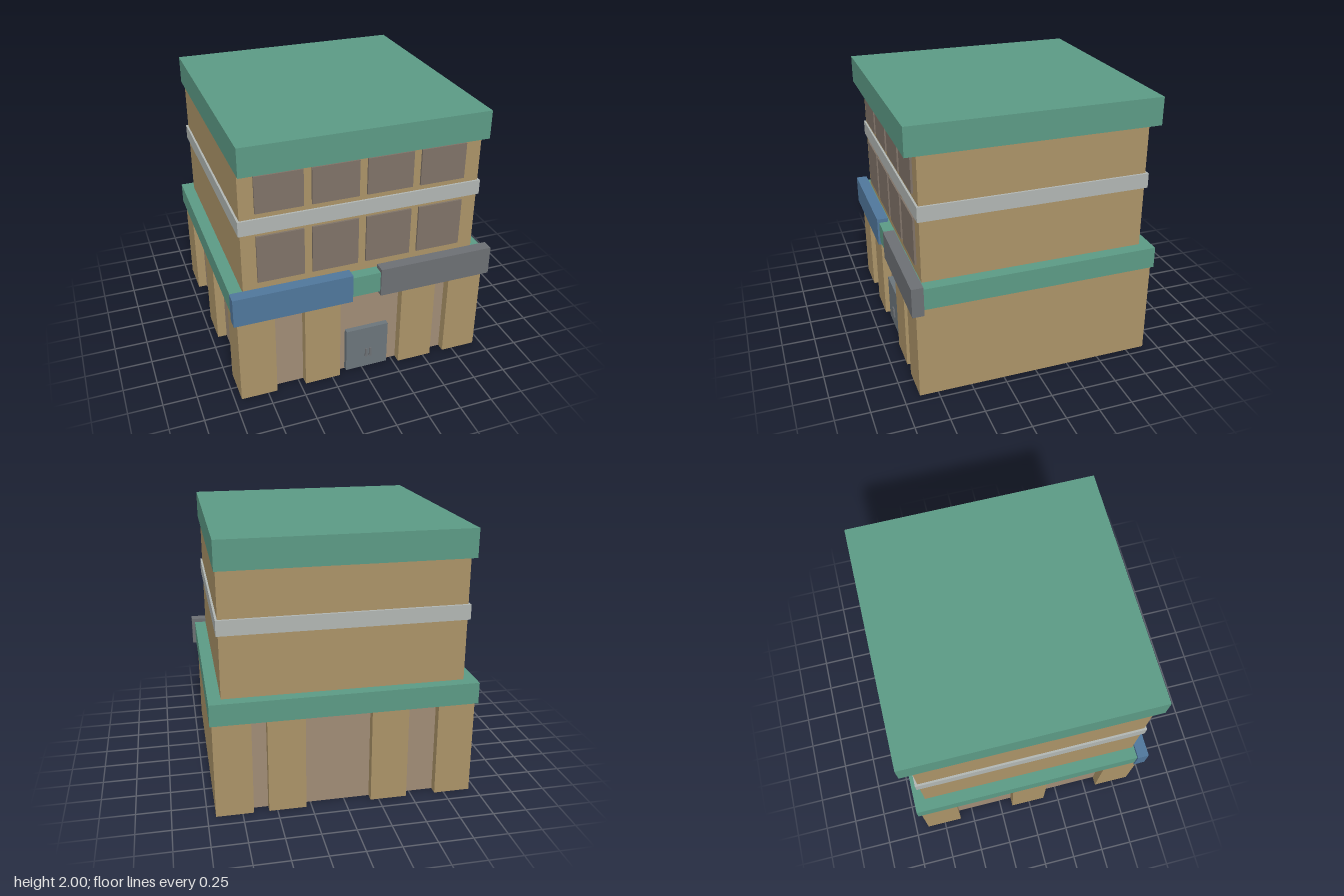
import * as THREE from 'three';

const mat = (name, color) => {
  const m = new THREE.MeshStandardMaterial({ color });
  m.name = name;
  return m;
};

export function createModel() {
  const tan = mat('tan wall', 0xaa9267);
  const taupe = mat('taupe recess', 0x9f8b75);
  const green = mat('green trim', 0x5b9984);
  const paleGrey = mat('pale grey band', 0xb0b5b2);
  const glass = mat('window brown', 0x7e7267);
  const blue = mat('blue sign', 0x4f769b);
  const grey = mat('grey sign', 0x6c6f73);
  const slate = mat('slate door', 0x6b747a);

  const model = new THREE.Group();
  model.name = 'building';

  // Box given by its extents along each axis
  const box = (name, material, [x0, x1], [y0, y1], [z0, z1], parent = model) => {
    const mesh = new THREE.Mesh(new THREE.BoxGeometry(x1 - x0, y1 - y0, z1 - z0), material);
    mesh.position.set((x0 + x1) / 2, (y0 + y1) / 2, (z0 + z1) / 2);
    mesh.name = name;
    parent.add(mesh);
    return mesh;
  };
  const group = (name) => {
    const g = new THREE.Group();
    g.name = name;
    model.add(g);
    return g;
  };

  // Ground floor: recessed core, solid wall on the left, pillars elsewhere
  const ground = [0, 0.715];
  box('groundFloorCore', taupe, [-0.88, 0.87], ground, [-0.83, 0.82]);
  box('sideWall', tan, [0.87, 0.94], ground, [-0.895, 0.885]);

  const pillars = group('pillars');
  for (const x of [[-0.88, -0.68], [-0.46, -0.19], [0.29, 0.56], [0.67, 0.87]]) {
    box('frontPillar', tan, x, ground, [0.82, 0.885], pillars);
    box('backPillar', tan, x, ground, [-0.895, -0.83], pillars);
  }
  for (const z of [[-0.895, -0.61], [-0.15, 0.13], [0.6, 0.885]]) {
    box('sidePillar', tan, [-0.95, -0.88], ground, z, pillars);
  }

  // Door with two handles
  const door = group('door');
  box('doorPanel', slate, [-0.13, 0.2], [0.01, 0.37], [0.82, 0.86], door);
  for (const x of [0.02, 0.053]) {
    box('doorHandle', grey, [x, x + 0.017], [0.105, 0.18], [0.86, 0.87], door);
  }

  // Ledge and sign boards above the ground floor
  box('ledge', green, [-0.97, 0.955], [0.715, 0.875], [-0.915, 0.905]);
  box('blueSign', blue, [-0.98, -0.11], [0.685, 0.905], [0.835, 0.92]);
  box('greySign', grey, [0.105, 0.98], [0.685, 0.905], [0.835, 0.92]);

  // Upper floors, dividing band and roof
  box('upperWalls', tan, [-0.88, 0.865], [0.875, 1.795], [-0.83, 0.82]);
  box('floorBand', paleGrey, [-0.895, 0.88], [1.335, 1.445], [-0.85, 0.835]);
  box('roof', green, [-0.89, 0.88], [1.795, 2], [-0.92, 0.9]);

  // Two rows of four windows
  const windows = group('windows');
  for (const y of [[0.95, 1.31], [1.485, 1.755]]) {
    for (let i = 0; i < 4; i++) {
      const x = -0.775 + i * 0.395;
      box('window', glass, [x, x + 0.337], y, [0.82, 0.835], windows);
    }
  }

  return model;
}
